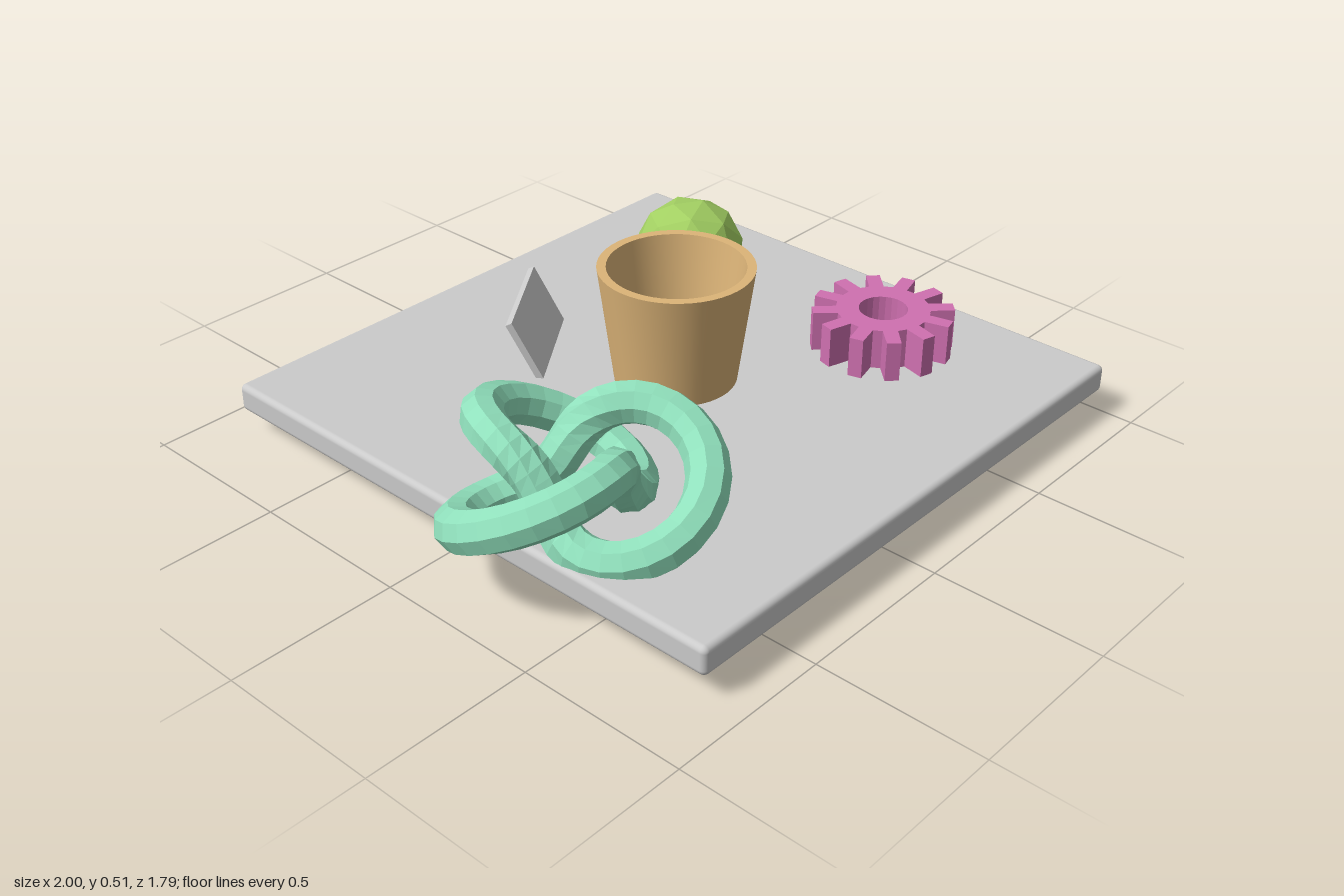
import * as THREE from 'three';
import { toCreasedNormals } from 'three/addons/utils/BufferGeometryUtils.js';
import { RoundedBoxGeometry } from 'three/addons/geometries/RoundedBoxGeometry.js';

const GREY = 0xcccccc;
const TABLE_TOP = 0.155;

export function createModel() {
  const model = new THREE.Group();

  function add(name, geometry, color, position, flatShading = false) {
    const material = new THREE.MeshStandardMaterial({ color, flatShading });
    const mesh = new THREE.Mesh(geometry, material);
    mesh.name = name;
    mesh.position.set(...position);
    model.add(mesh);
    return mesh;
  }

  // Square slab with softly rounded edges
  add('slab', new RoundedBoxGeometry(1.79, 0.087, 1.79, 3, 0.018), GREY, [0.105, 0.112, -0.003]);

  // Thin square panel leaning through the slab
  const panel = add('tiltedPanel', new THREE.BoxGeometry(0.36, 0.36, 0.02), GREY, [-0.035, 0.166, -0.388]);
  panel.rotation.set(-0.463, 0.617, 0, 'YXZ');

  // Tapered cup with a thick wall and floor
  const cupProfile = [
    [0, 0], [0.18, 0], [0.227, 0.357], [0.2, 0.357], [0.157, 0.035], [0, 0.035],
  ].map(([r, y]) => new THREE.Vector2(r, y));
  const cup = toCreasedNormals(new THREE.LatheGeometry(cupProfile, 48), 0.6);
  add('cup', cup, 0xdcb478, [0.105, TABLE_TOP, -0.003]);

  // Faceted ball
  const ball = new THREE.IcosahedronGeometry(0.173, 1);
  ball.rotateZ(0.5536 + 0.25).rotateX(-0.19);
  add('facetedBall', ball, 0xa2cf62, [0.565, 0.268, -0.357], true);

  // Gear wheel lying flat
  add('gear', gearGeometry(12, 0.14, 0.212, 0.073, 0.14), 0xcf70b0, [0.65, 0.14, 0.334], true);

  // Three-lobed knot, one lobe hanging over the slab's edge
  const knot = new THREE.TorusKnotGeometry(0.23, 0.06, 80, 8, 2, 3);
  knot.rotateX(-Math.PI / 2).rotateY(Math.PI);
  add('knot', knot, 0x90e0bc, [-0.595, 0.275, 0.277], true);

  return model;
}

// Toothed disc with a round hole, standing on y = 0
function gearGeometry(teeth, rootRadius, tipRadius, holeRadius, height) {
  const shape = new THREE.Shape();
  const pitch = (Math.PI * 2) / teeth;
  const corners = [[rootRadius, -0.16], [tipRadius, -0.1], [tipRadius, 0.1], [rootRadius, 0.16]];
  for (let i = 0; i < teeth; i++) {
    corners.forEach(([r, offset], j) => {
      const a = (i + 0.5) * pitch + offset;
      const x = r * Math.cos(a), y = r * Math.sin(a);
      if (i === 0 && j === 0) shape.moveTo(x, y);
      else shape.lineTo(x, y);
    });
  }
  shape.closePath();
  const hole = new THREE.Path();
  hole.absarc(0, 0, holeRadius, 0, Math.PI * 2, true);
  shape.holes.push(hole);
  const geometry = new THREE.ExtrudeGeometry(shape, { depth: height, bevelEnabled: false, curveSegments: 12 });
  return geometry.rotateX(-Math.PI / 2);
}
